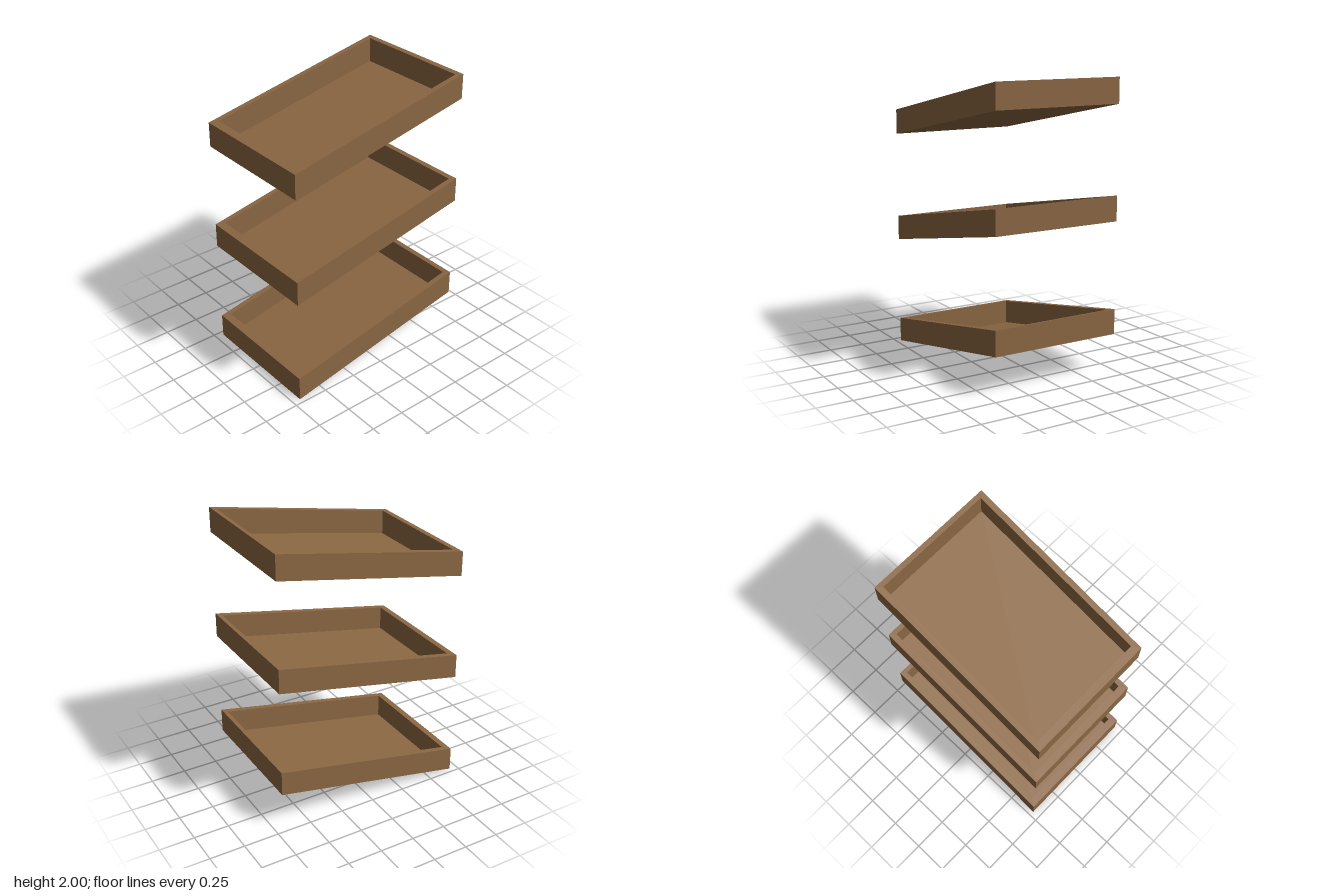
import * as THREE from 'three';

const HALF_W = 0.465, HALF_D = 0.693, HEIGHT = 0.174;
const RISE = 0.276, PITCH = 0.775;
const IN_W = 0.425, IN_FRONT = 0.64, IN_BACK = 0.66;
const FLOOR = 0.002;

// Rectangle outline in plan; plan y runs towards the back (-z)
function rect(path, halfW, front, back) {
  path.moveTo(-halfW, -front);
  path.lineTo(halfW, -front);
  path.lineTo(halfW, back);
  path.lineTo(-halfW, back);
  path.closePath();
  return path;
}

// Extrude a plan upwards, then shear it so the back rises and the ends stay vertical
function slopedPlan(shape, height) {
  const geo = new THREE.ExtrudeGeometry(shape, { depth: height, bevelEnabled: false });
  geo.rotateX(-Math.PI / 2);
  const pos = geo.attributes.position;
  for (let i = 0; i < pos.count; i++) {
    const t = (HALF_D - pos.getZ(i)) / (2 * HALF_D);
    pos.setY(i, pos.getY(i) + RISE * t);
  }
  geo.computeVertexNormals();
  return geo;
}

export function createModel() {
  const model = new THREE.Group();
  model.name = 'slopedTrays';
  const wood = new THREE.MeshStandardMaterial({ color: 0x8b6743 });

  // Four walls as one frame around the opening
  const frameShape = rect(new THREE.Shape(), HALF_W, HALF_D, HALF_D);
  frameShape.holes.push(rect(new THREE.Path(), IN_W, IN_FRONT, IN_BACK));
  const frameGeo = slopedPlan(frameShape, HEIGHT);

  // Thin floor flush with the underside
  const floorGeo = slopedPlan(rect(new THREE.Shape(), IN_W, IN_FRONT, IN_BACK), FLOOR);

  // Three equal trays, one above another
  ['lowerTray', 'middleTray', 'upperTray'].forEach((name, i) => {
    const tray = new THREE.Group();
    tray.name = name;
    const walls = new THREE.Mesh(frameGeo, wood);
    walls.name = 'trayWalls';
    const floor = new THREE.Mesh(floorGeo, wood);
    floor.name = 'trayFloor';
    tray.add(walls, floor);
    tray.position.y = i * PITCH;
    model.add(tray);
  });
  return model;
}
